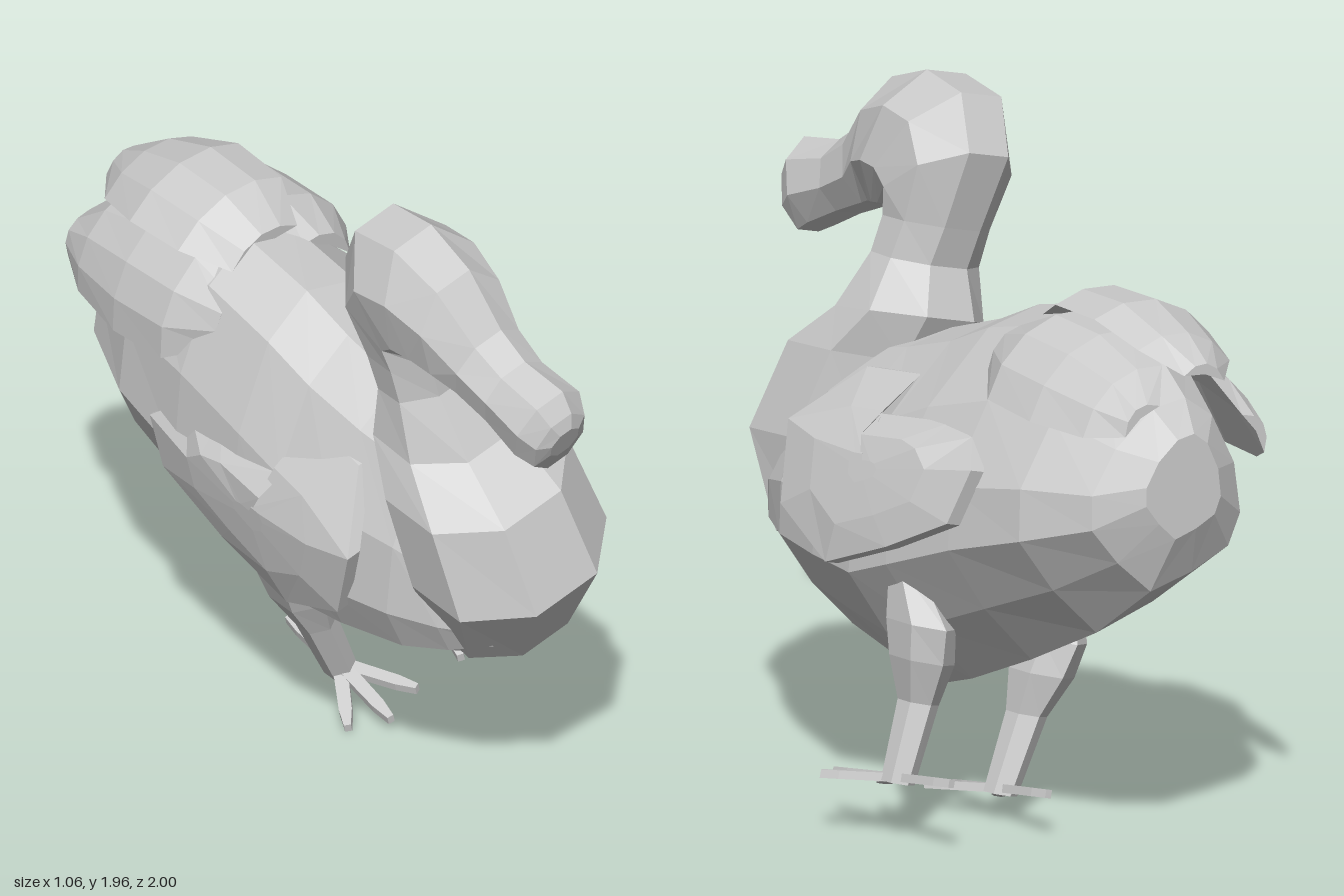
import * as THREE from 'three';

const V = (x, y, z) => new THREE.Vector3(x, y, z);
const plumage = new THREE.MeshStandardMaterial({ color: 0xcccccc });
plumage.name = 'pale grey';

// Flat-faceted closed skin over rings that share the same number of points
function loft(name, rings) {
  const pos = [];
  const tri = (a, b, c) => pos.push(a, b, c);
  const n = rings[0].length;
  for (let i = 0; i < rings.length - 1; i++) {
    for (let j = 0; j < n; j++) {
      const k = (j + 1) % n, A = rings[i], B = rings[i + 1];
      tri(A[j], A[k], B[k]);
      tri(A[j], B[k], B[j]);
    }
  }
  for (const [ring, first] of [[rings[0], true], [rings[rings.length - 1], false]]) {
    const mid = V(0, 0, 0);
    ring.forEach(p => mid.addScaledVector(p, 1 / n));
    for (let j = 0; j < n; j++) {
      const k = (j + 1) % n;
      if (first) tri(mid, ring[k], ring[j]);
      else tri(mid, ring[j], ring[k]);
    }
  }
  // Turn the skin outward if its signed volume is negative
  let volume = 0;
  for (let i = 0; i < pos.length; i += 3) volume += pos[i].dot(V(0, 0, 0).crossVectors(pos[i + 1], pos[i + 2]));
  if (volume < 0) for (let i = 0; i < pos.length; i += 3) [pos[i + 1], pos[i + 2]] = [pos[i + 2], pos[i + 1]];
  const geo = new THREE.BufferGeometry().setFromPoints(pos);
  geo.computeVertexNormals();
  const mesh = new THREE.Mesh(geo, plumage);
  mesh.name = name;
  return mesh;
}

// n points around a centre, spanned by two half axes
const oval = (centre, u, v, n, phase = 0) => Array.from({ length: n }, (_, i) => {
  const t = (i / n) * Math.PI * 2 + phase;
  return centre.clone().addScaledVector(u, Math.cos(t)).addScaledVector(v, Math.sin(t));
});

function makeBody() {
  // Rounded back, broad flanks and a keeled belly
  const half = [[0, 1], [0.4, 0.85], [0.8, 0.4], [1, -0.1], [0.92, -0.45], [0.5, -0.75], [0, -1]];
  const section = [...half, ...half.slice(1, -1).reverse().map(([x, y]) => [-x, y])];
  // z, top, bottom, half width
  const stations = [
    [0.71, 1.02, 0.68, 0.19], [0.6, 1.18, 0.58, 0.27], [0.46, 1.32, 0.49, 0.335], [0.24, 1.37, 0.44, 0.38],
    [0.04, 1.43, 0.395, 0.4], [-0.12, 1.5, 0.44, 0.4], [-0.37, 1.55, 0.54, 0.385],
    [-0.64, 1.5, 0.665, 0.35], [-0.85, 1.37, 0.82, 0.26], [-0.92, 1.28, 0.98, 0.13],
  ];
  return loft('body', stations.map(([z, top, low, w]) =>
    section.map(([x, y]) => V(x * w - 0.02, (top + low) / 2 + y * (top - low) / 2, z))));
}

function makeNeckAndHead() {
  // back z, back y, front z, front y, half width, sideways shift, from breast to beak tip
  const stations = [
    [0.4, 0.7, 0.7, 0.61, 0.2, -0.03], [0.38, 0.92, 0.86, 0.87, 0.27, -0.03], [0.3, 1.18, 0.77, 1.13, 0.25, -0.02],
    [0.23, 1.32, 0.6, 1.26, 0.2, 0], [0.28, 1.45, 0.5, 1.44, 0.155, 0], [0.25, 1.56, 0.49, 1.54, 0.15, 0],
    [0.18, 1.78, 0.5, 1.56, 0.165, 0.01], [0.26, 1.925, 0.54, 1.555, 0.17, 0.01], [0.43, 1.945, 0.57, 1.55, 0.165, 0.01],
    [0.6, 1.885, 0.61, 1.545, 0.145, 0], [0.71, 1.73, 0.65, 1.53, 0.115, 0], [0.8, 1.665, 0.76, 1.48, 0.105, 0],
    [0.95, 1.635, 0.87, 1.42, 0.115, 0], [0.985, 1.58, 0.92, 1.39, 0.09, 0], [0.995, 1.54, 0.96, 1.45, 0.05, 0],
  ];
  // Undo the lean of the standing bird on the centre plane
  const mid = (z, y, x) => V(x, (y + 0.069 * z) / 0.962, z / 0.969);
  // Octagons sized across their flats
  const flats = 1 / Math.cos(Math.PI / 8);
  return loft('neckHeadAndBeak', stations.map(([bz, by, fz, fy, w, x]) => {
    const back = mid(bz, by, x), front = mid(fz, fy, x);
    const centre = back.clone().add(front).multiplyScalar(0.5);
    return oval(centre, back.sub(centre).multiplyScalar(flats), V(w * flats, 0, 0), 8, Math.PI / 8);
  }));
}

function makeWing(side, name) {
  const outline = [[0.38, 1.05], [0.28, 1.23], [0.06, 1.25], [0.05, 1.13], [-0.24, 1.16], [-0.37, 1.14],
    [-0.48, 1.06], [-0.44, 0.9], [-0.2, 0.79], [0.06, 0.7], [0.31, 0.82]];
  // The wing hangs nearly upright and folds in over the shoulder
  const layer = (scale, out) => outline.map(([z, y]) => {
    const pz = -0.03 + (z + 0.03) * scale, py = 0.98 + (y - 0.98) * scale;
    return V(side * (0.41 - 0.12 * Math.max(0, py - 0.8) - 0.95 * Math.max(0, py - 1.08) + out), py, pz);
  });
  return loft(name, [layer(1, -0.035), layer(1, 0.01), layer(0.6, 0.03), layer(0.15, 0.035)]);
}

function makeTailFeather(side, name) {
  // z, height, half width, sideways shift
  const stations = side
    ? [[-0.3, 1.4, 0.1, 0.18], [-0.45, 1.41, 0.2, 0.21], [-0.66, 1.39, 0.205, 0.21], [-0.86, 1.35, 0.16, 0.2], [-0.97, 1.31, 0.07, 0.2]]
    : [[-0.34, 1.51, 0.12, 0.01], [-0.48, 1.56, 0.19, 0.01], [-0.68, 1.555, 0.2, 0.01], [-0.85, 1.5, 0.16, 0], [-0.96, 1.45, 0.07, 0]];
  const tilt = -side * 0.78;
  const section = [[-1, -0.25], [-0.55, 0.65], [0, 1], [0.55, 0.65], [1, -0.25], [0, 0.1]];
  return loft(name, stations.map(([z, y, w, shift]) => section.map(([u, v]) =>
    V(u * w, v * (0.02 + w * 0.2), 0).applyAxisAngle(V(0, 0, 1), tilt).add(V(side * shift + 0.01, y, z)))));
}

function makeLeg(side, name) {
  const leg = new THREE.Group();
  leg.name = name;
  // x, y, z, half depth, half width, sideways lean
  const stations = [[0.27, 0.73, -0.1, 0.05, 0.06, -0.02], [0.23, 0.58, -0.14, 0.12, 0.09, -0.025],
    [0.21, 0.48, -0.14, 0.1, 0.09, -0.03], [0.19, 0.36, -0.125, 0.06, 0.058, -0.035], [0.18, 0.13, -0.13, 0.048, 0.048, 0]];
  leg.add(loft('shank', stations.map(([x, y, z, d, w, lean]) =>
    oval(V(side * x + lean, y, z), V(0, 0, d), V(w, 0, 0), 6))));
  // Three front toes and one pointing back
  const hub = V(side * 0.18, 0.145, -0.13);
  for (const [x, y, z] of [[0.31, 0.112, 0.05], [0.21, 0.115, 0.12], [0.08, 0.11, 0.08], [0.17, 0.17, -0.36]]) {
    const tip = V(side * x, y, z);
    const across = V(0, 0, 0).crossVectors(tip.clone().sub(hub), V(0, 1, 0)).normalize();
    const ring = (t, w) => oval(hub.clone().lerp(tip, t), across.clone().multiplyScalar(w), V(0, 0.017, 0), 4, Math.PI / 4);
    leg.add(loft('toe', [ring(-0.08, 0.03), ring(0.75, 0.026), ring(1, 0.014)]));
  }
  return leg;
}

export function createModel() {
  const bird = new THREE.Group();
  bird.name = 'bird';
  bird.add(makeBody(), makeNeckAndHead(), makeTailFeather(0, 'middleTailFeather'));
  for (const [side, label] of [[1, 'left'], [-1, 'right']]) {
    bird.add(makeWing(side, label + 'Wing'), makeTailFeather(side, label + 'TailFeather'), makeLeg(side, label + 'Leg'));
  }
  // The whole bird stands turned and leaning
  bird.rotation.set(0, -0.25, 0.275, 'ZYX');
  bird.position.x = 0.265;
  const model = new THREE.Group();
  model.name = 'model';
  model.add(bird);
  return model;
}
